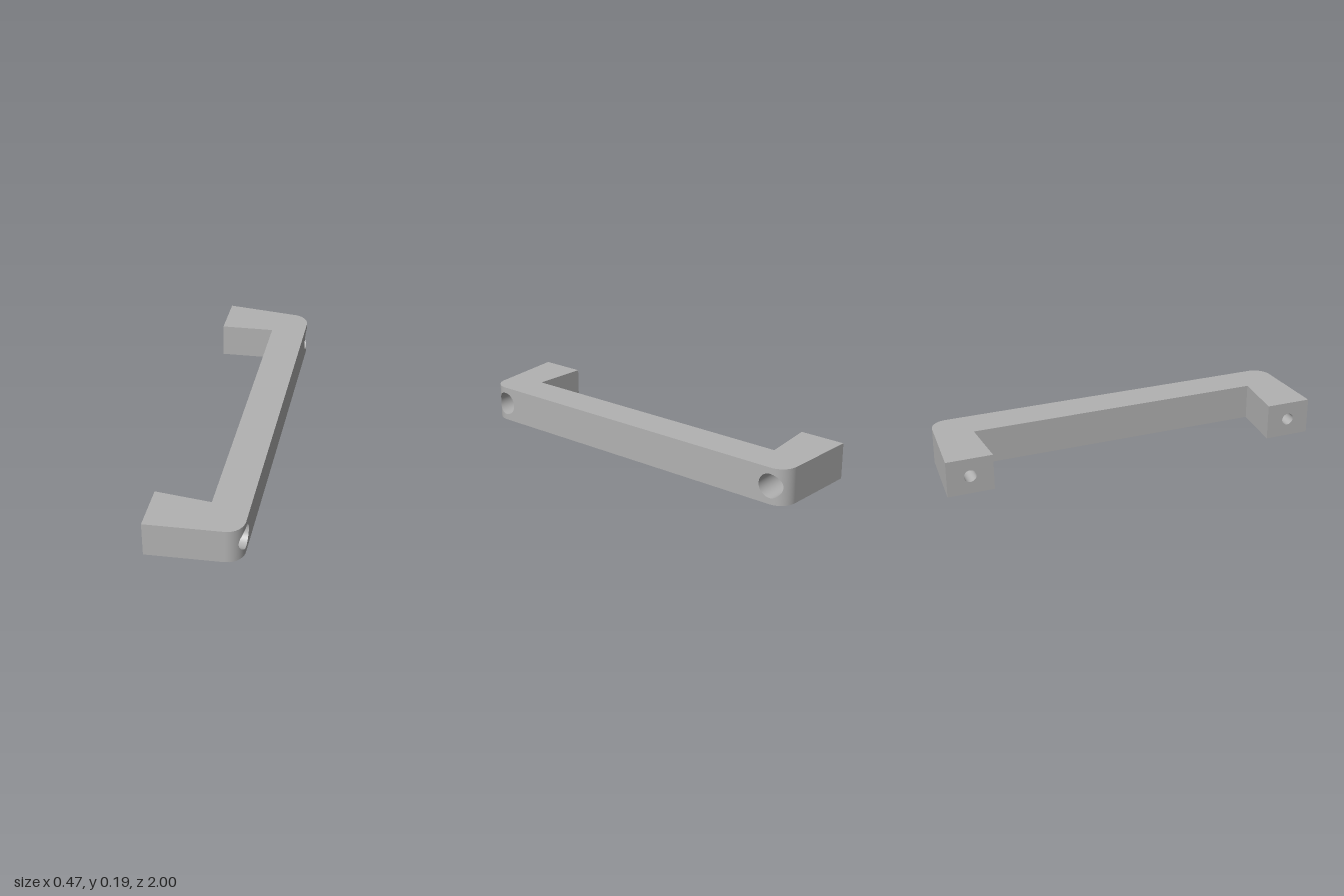
import * as THREE from 'three';

const H = 0.19, CY = H / 2;              // bar height and mid height
const BACK = -0.237, FRONT = 0.235;      // x of the mounting face and the grip face
const R = 0.09, ZC = 0.882;              // rounded corner radius and centre z
const ARC = THREE.MathUtils.degToRad(86); // the corner stops at the tapered leg
const HOLE_Z = 0.88, R_BIG = 0.0625, R_SMALL = 0.032, SEAT = 0.0;
const FOOT_IN = [BACK, 0.76], FOOT_OUT = [BACK, 1], ELBOW = [0.048, 0.78];
const FLAT = 0.09;                       // flat length beside the corner that holds the hole

// Point and normal on the grip face and corner, by distance s past the tangent line
function outer(s) {
  const a = Math.max(s, 0) / R;
  return {
    x: FRONT - R + R * Math.cos(a),
    z: ZC + R * Math.sin(a) + Math.min(s, 0),
    n: [Math.cos(a), 0, Math.sin(a)],
  };
}
const toS = (z) => (z <= ZC ? z - ZC : R * Math.asin((z - ZC) / R));

// Smooth surface from a rule fn(u, v) giving position p and normal n
function grid(nu, nv, fn) {
  const pos = [], nor = [], idx = [];
  for (let j = 0; j <= nv; j++) {
    for (let i = 0; i <= nu; i++) {
      const { p, n } = fn(i / nu, j / nv);
      pos.push(...p);
      nor.push(...n);
      if (i < nu && j < nv) {
        const a = j * (nu + 1) + i, d = a + nu + 1;
        idx.push(a, a + 1, d + 1, a, d + 1, d);
      }
    }
  }
  const g = new THREE.BufferGeometry();
  g.setAttribute('position', new THREE.Float32BufferAttribute(pos, 3));
  g.setAttribute('normal', new THREE.Float32BufferAttribute(nor, 3));
  g.setIndex(idx);
  return g;
}

// Upright flat wall between two [x, z] points
function wall([ax, az], [bx, bz]) {
  const l = Math.hypot(bx - ax, bz - az);
  const n = [(az - bz) / l, 0, (bx - ax) / l];
  return grid(1, 1, (u, v) => ({ p: [ax + (bx - ax) * u, H * v, az + (bz - az) * u], n }));
}

// Inside of a round hole along x, ending at xEnd(z)
function bore(r, xStart, xEnd) {
  return grid(64, 1, (u, v) => {
    const c = Math.cos(u * Math.PI * 2), s = Math.sin(u * Math.PI * 2);
    const z = HOLE_Z + r * c;
    return { p: [xStart + (xEnd(z) - xStart) * v, CY + r * s, z], n: [0, -s, -c] };
  });
}

// Rounded corner panel, running from the screw hole rim out to its rectangular border
function cornerPanel() {
  return grid(64, 8, (u, v) => {
    const c = Math.cos(u * Math.PI * 2), s = Math.sin(u * Math.PI * 2);
    const m = Math.max(Math.abs(c), Math.abs(s));
    const rim = toS(HOLE_Z + R_BIG * c);
    const border = (c / m) * (c > 0 ? R * ARC : FLAT);
    const q = outer(rim + (border - rim) * v);
    const y = CY + R_BIG * s * (1 - v) + (s / m) * CY * v;
    return { p: [q.x, y, q.z], n: q.n };
  });
}

// Mounting face with the small screw hole
function footFace() {
  const shape = new THREE.Shape([
    new THREE.Vector2(FOOT_IN[1], 0), new THREE.Vector2(FOOT_OUT[1], 0),
    new THREE.Vector2(FOOT_OUT[1], H), new THREE.Vector2(FOOT_IN[1], H),
  ]);
  shape.holes.push(new THREE.Path().absarc(HOLE_Z, CY, R_SMALL, 0, Math.PI * 2, true));
  return new THREE.ShapeGeometry(shape, 64).rotateY(-Math.PI / 2).translate(BACK, 0, 0);
}

// Plan outline of the whole handle
function planShape() {
  const half = [ELBOW, FOOT_IN, FOOT_OUT];
  for (let i = 16; i >= 0; i--) {
    const q = outer((R * ARC * i) / 16);
    half.push([q.x, q.z]);
  }
  const other = half.map(([x, z]) => [x, -z]).reverse();
  return new THREE.Shape([...half, ...other].map(([x, z]) => new THREE.Vector2(x, z)));
}

export function createModel() {
  const metal = new THREE.MeshStandardMaterial({ color: 0xb2b2b2 });
  metal.name = 'satin grey';
  const model = new THREE.Group();
  model.name = 'pullHandle';
  const add = (parent, name, geometry) => {
    const mesh = new THREE.Mesh(geometry, metal);
    mesh.name = name;
    parent.add(mesh);
  };

  // Bar and shared top and bottom faces
  const flatEnd = ZC - FLAT;
  add(model, 'topFace', new THREE.ShapeGeometry(planShape()).rotateX(-Math.PI / 2).translate(0, H, 0));
  add(model, 'bottomFace', new THREE.ShapeGeometry(planShape()).rotateX(Math.PI / 2));
  add(model, 'gripFace', wall([FRONT, flatEnd], [FRONT, -flatEnd]));
  add(model, 'gripInnerFace', wall([ELBOW[0], -ELBOW[1]], ELBOW));

  // Two identical legs, the second turned half round about the bar's mid height
  for (const name of ['frontLeg', 'backLeg']) {
    const leg = new THREE.Group();
    leg.name = name;
    const end = outer(R * ARC);
    add(leg, 'roundedCorner', cornerPanel());
    add(leg, 'legOuterFace', wall(FOOT_OUT, [end.x, end.z]));
    add(leg, 'legInnerFace', wall(ELBOW, FOOT_IN));
    add(leg, 'mountingFace', footFace());
    add(leg, 'screwHeadBore', bore(R_BIG, SEAT, (z) => outer(toS(z)).x));
    add(leg, 'screwShankBore', bore(R_SMALL, BACK, () => SEAT));
    add(leg, 'screwSeat', new THREE.RingGeometry(R_SMALL, R_BIG, 64)
      .rotateY(Math.PI / 2).translate(SEAT, CY, HOLE_Z));
    if (name === 'backLeg') {
      leg.rotation.x = Math.PI;
      leg.position.y = H;
    }
    model.add(leg);
  }
  return model;
}
